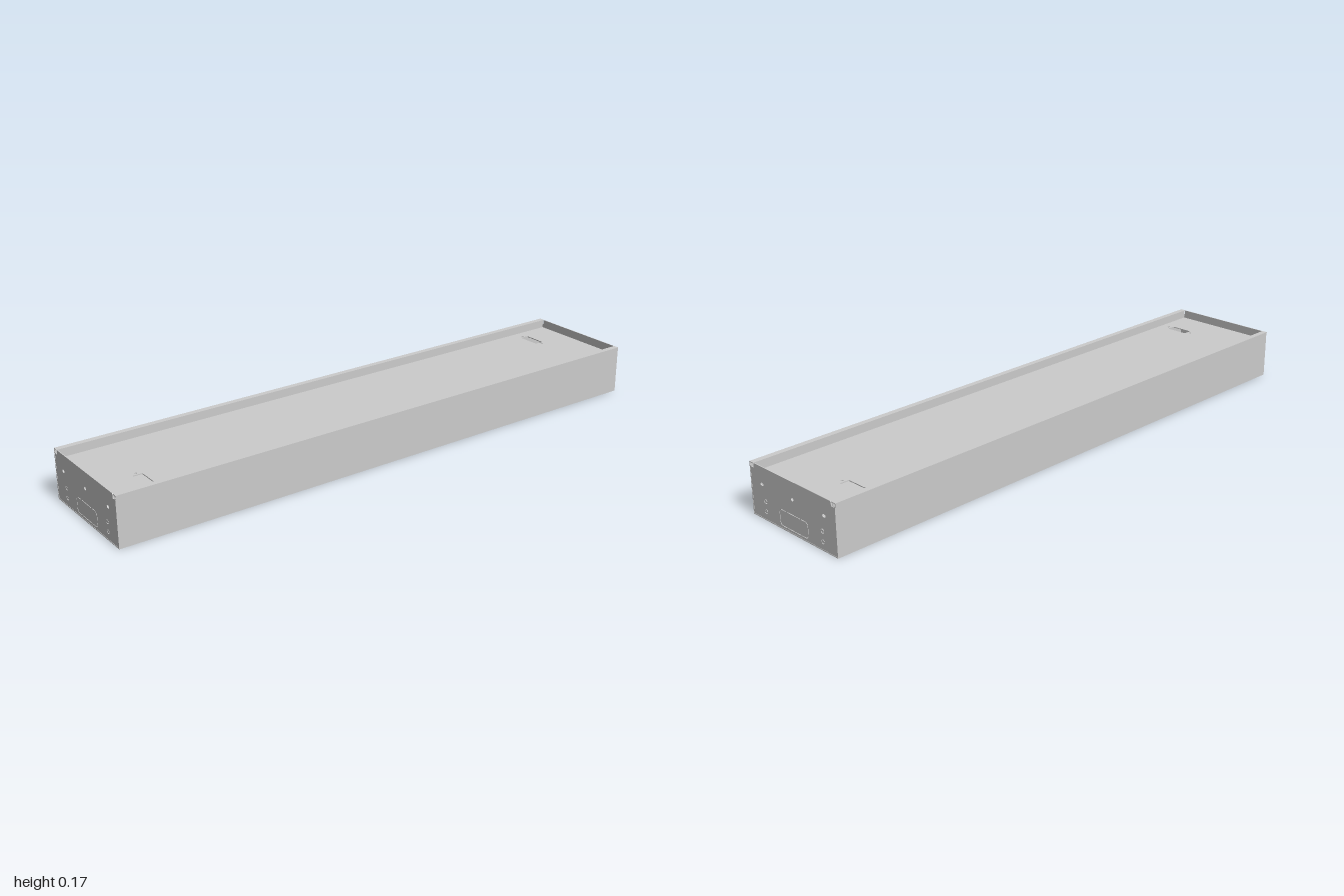
import * as THREE from 'three';

const material = new THREE.MeshStandardMaterial({ color: 0xcccccc, flatShading: true });
const T = 0.003; // sheet thickness

function add(parent, geometry, name) {
  const mesh = new THREE.Mesh(geometry, material);
  mesh.name = name;
  parent.add(mesh);
  return mesh;
}

function bar(parent, name, x0, x1, y0, y1, z0, z1) {
  const mesh = add(parent, new THREE.BoxGeometry(x1 - x0, y1 - y0, z1 - z0), name);
  mesh.position.set((x0 + x1) / 2, (y0 + y1) / 2, (z0 + z1) / 2);
  return mesh;
}

function polygon(points) {
  return new THREE.Shape(points.map(([x, y]) => new THREE.Vector2(x, y)));
}

function rect(x0, x1, y0, y1) {
  return polygon([[x0, y0], [x1, y0], [x1, y1], [x0, y1]]);
}

function roundedRect(x0, x1, y0, y1, r) {
  const s = new THREE.Shape();
  s.absarc(x1 - r, y0 + r, r, -Math.PI / 2, 0);
  s.absarc(x1 - r, y1 - r, r, 0, Math.PI / 2);
  s.absarc(x0 + r, y1 - r, r, Math.PI / 2, Math.PI);
  s.absarc(x0 + r, y0 + r, r, Math.PI, Math.PI * 1.5);
  s.closePath();
  return s;
}

function oval(x, y, rx, ry = rx) {
  return new THREE.Path().absellipse(x, y, rx, ry, 0, Math.PI * 2);
}

// Two C-shaped slits around a round knockout, leaving two bridges
function knockout(x, y, r, gap) {
  const bridge = 0.15;
  return [0, Math.PI].map((a) => {
    const p = new THREE.Path();
    p.absarc(x, y, r, a + bridge, a + Math.PI - bridge, false);
    p.absarc(x, y, r - gap, a + Math.PI - bridge, a + bridge, true);
    p.closePath();
    return p;
  });
}

function sheet(shape, holes = []) {
  shape.holes.push(...holes);
  return new THREE.ExtrudeGeometry(shape, { depth: T, bevelEnabled: false, curveSegments: 10 });
}

function endPlate() {
  const end = new THREE.Group();
  end.name = 'endPlate';
  const shape = polygon([
    [-0.196, T], [0.196, T], [0.196, 0.153], [0.18, 0.153], [0.18, 0.165], [0.177, 0.168],
    [-0.177, 0.168], [-0.18, 0.165], [-0.18, 0.153], [-0.196, 0.153],
  ]);
  const holes = [-0.145, 0, 0.145].map((z) => oval(z, 0.112, z ? 0.0075 : 0.006, 0.0055));
  for (const z of [-0.133, 0.133])
    for (const y of [0.028, 0.061]) holes.push(...knockout(z, y, 0.0075, 0.0022));
  holes.push(roundedRect(-0.067, 0.067, 0.01, 0.063, 0.014));
  add(end, sheet(shape, holes), 'endSheet');
  // Large knockout held by four small tabs
  add(end, sheet(roundedRect(-0.065, 0.065, 0.012, 0.061, 0.012)), 'endKnockout');
  for (const z of [-0.033, 0.033])
    for (const y of [0.011, 0.062]) bar(end, 'knockoutTab', z - 0.002, z + 0.002, y - 0.0015, y + 0.0015, 0, T);
  return end;
}

export function createModel() {
  const group = new THREE.Group();

  // Housing floor with round knockouts and small fixing holes
  const floorHoles = [-0.87, 0, 0.87].flatMap((x) => knockout(x, 0, 0.04, 0.003));
  for (const [x, z] of [[-0.08, -0.038], [-0.79, 0.037], [0.79, -0.037]]) floorHoles.push(oval(x, -z, 0.004));
  const floor = add(group, sheet(rect(-1, 1, -0.1985, 0.1985), floorHoles), 'housingFloor');
  floor.rotation.x = -Math.PI / 2;

  // Recessed cover with one slot and two screw holes near each end
  const coverHoles = [];
  for (const s of [-1, 1]) {
    const y = s * 0.1;
    coverHoles.push(roundedRect(s * 0.86 - 0.016, s * 0.86 + 0.016, y - 0.04, y + 0.04, 0.004));
    for (const d of [-0.051, 0.051]) coverHoles.push(oval(s * 0.86, y + d, 0.004));
  }
  const cover = add(group, sheet(rect(-0.994, 0.994, -0.184, 0.184), coverHoles), 'coverPlate');
  cover.rotation.x = -Math.PI / 2;
  cover.position.y = 0.137;

  // Long walls, each with the cover's hollow lip folded over the top
  for (const s of [-1, 1]) {
    const side = new THREE.Group();
    side.name = s > 0 ? 'frontSide' : 'backSide';
    const strip = (name, length, y0, y1, a, b) =>
      bar(side, name, -length, length, y0, y1, Math.min(s * a, s * b), Math.max(s * a, s * b));
    strip('sideWall', 1, 0, 0.158, 0.1955, 0.1985);
    strip('coverFlange', 0.994, 0.137, 0.168, 0.181, 0.184);
    strip('lipTop', 0.999, 0.1655, 0.168, 0.181, 0.2005);
    strip('lipOuterEdge', 0.999, 0.155, 0.168, 0.198, 0.2005);
    group.add(side);
  }

  // Matching end plates
  for (const s of [-1, 1]) {
    const end = endPlate();
    end.rotation.y = s * Math.PI / 2;
    end.position.x = s * (0.999 - T);
    group.add(end);
  }
  return group;
}
